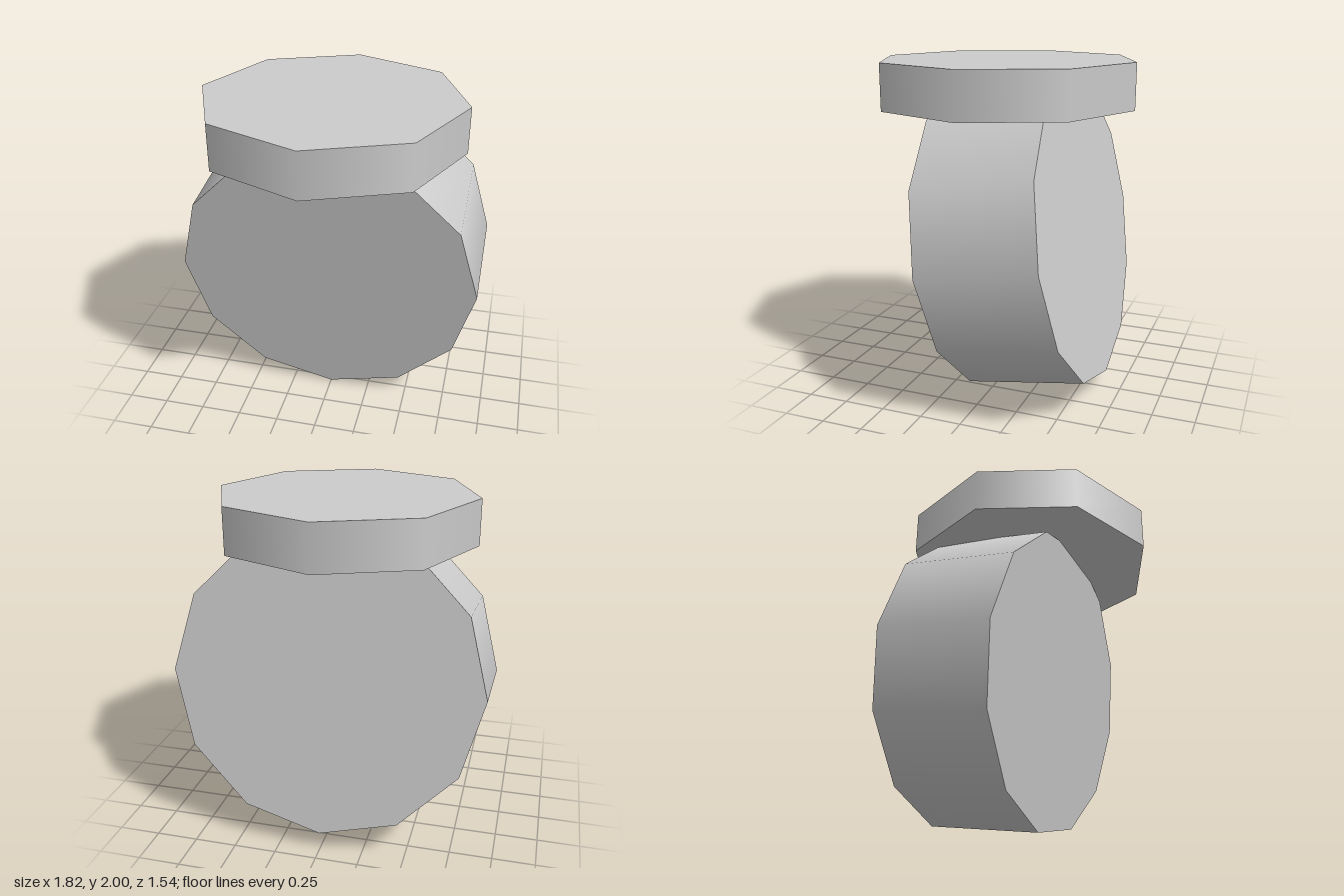
import * as THREE from 'three';

export function createModel() {
  const model = new THREE.Group();
  const lightGrey = new THREE.MeshStandardMaterial({ color: 0xcccccc });
  lightGrey.name = 'light grey';

  // Upright or tilted prism with smooth sides and flat ends
  function addDrum(name, radius, depth, sides, position, tilt = 0) {
    const mesh = new THREE.Mesh(
      new THREE.CylinderGeometry(radius, radius, depth, sides), lightGrey);
    mesh.name = name;
    mesh.position.set(...position);
    mesh.rotation.x = tilt;
    model.add(mesh);
  }

  // Twelve-sided drum on its edge, leaning forward by 9 degrees
  addDrum('drumBody', 0.912, 0.714, 12, [0, 0.957, -0.165], THREE.MathUtils.degToRad(99));

  // Octagonal slab resting on top
  addDrum('topSlab', 0.772, 0.27, 8, [0, 1.865, 0]);

  return model;
}
